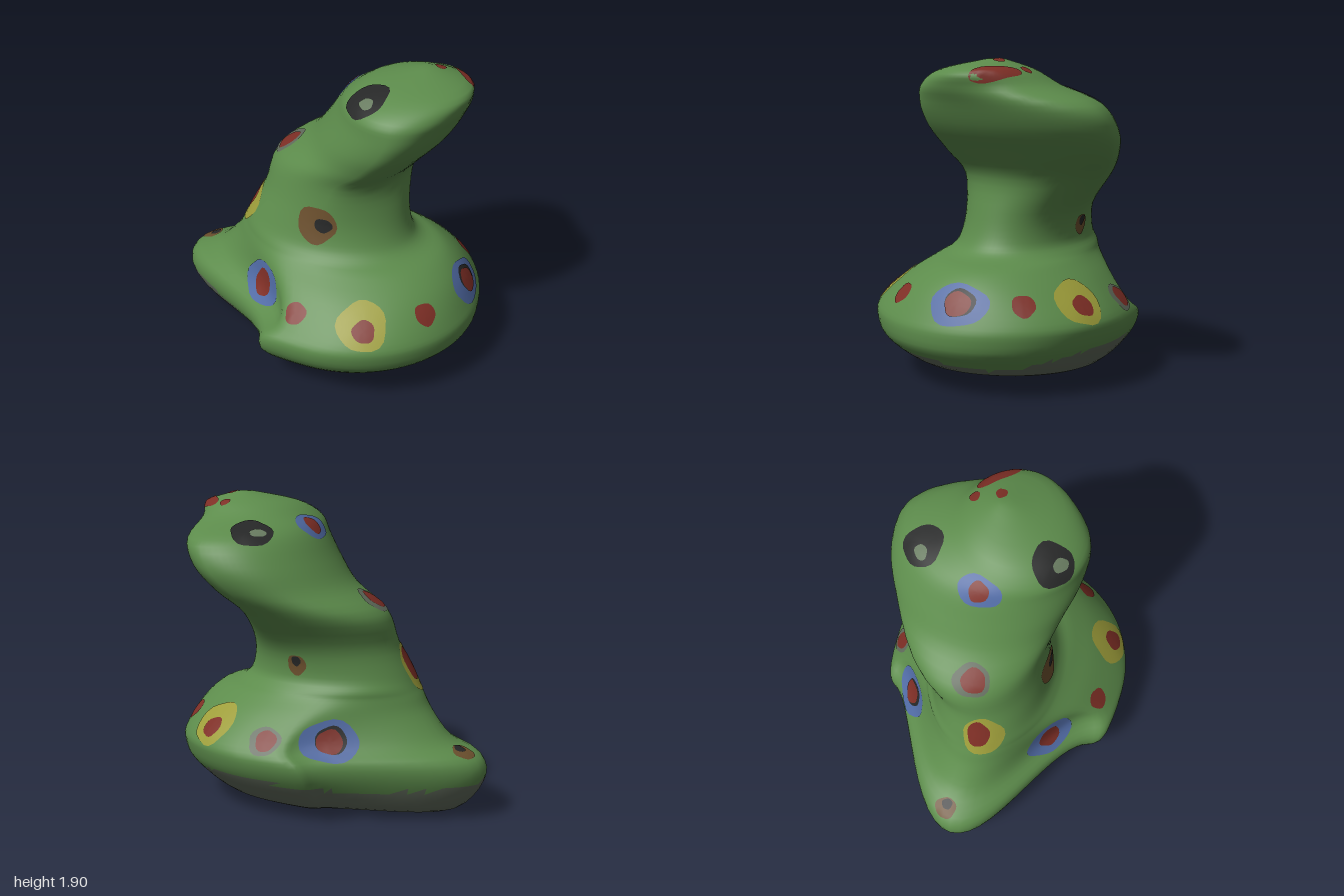
import * as THREE from 'three';

const { smoothstep, clamp, degToRad } = THREE.MathUtils;
const mat = (name, color) => Object.assign(new THREE.MeshStandardMaterial({ color }), { name });
const M = {
  green: mat('skin green', 0x5c8b4b),
  grey: mat('underside grey', 0x606a5b),
  red: mat('spot red', 0x7d2e25),
  yellow: mat('spot yellow', 0x9d9d3a),
  blue: mat('spot blue', 0x4f69a2),
  black: mat('eye black', 0x262727),
  brown: mat('spot brown', 0x6b4f2d),
  glint: mat('eye glint', 0x687b60),
};

// Horizontal cross-sections: y, xMin, xMax, zMin, zMax
const SECTIONS = [
  [0, -0.6, 0.55, -0.42, 0.42],
  [0.05, -0.84, 0.78, -0.58, 0.57],
  [0.22, -0.99, 0.96, -0.72, 0.74],
  [0.36, -0.97, 1, -0.78, 0.79],
  [0.45, -0.78, 0.97, -0.75, 0.74],
  [0.6, -0.64, 0.88, -0.61, 0.58],
  [0.7, -0.58, 0.76, -0.5, 0.44],
  [0.75, -0.55, 0.61, -0.46, 0.38],
  [0.83, -0.51, 0.54, -0.42, 0.33],
  [1, -0.43, 0.5, -0.45, 0.29],
  [1.2, -0.38, 0.49, -0.61, 0.28],
  [1.35, -0.17, 0.6, -0.74, 0.33],
  [1.5, -0.05, 0.73, -0.79, 0.38],
  [1.65, 0.05, 0.81, -0.72, 0.39],
  [1.75, 0.14, 0.85, -0.47, 0.36],
  [1.84, 0.28, 0.85, -0.33, 0.2],
  [1.9, 0.54, 0.62, -0.18, -0.08],
];

// Smooth blend between neighbouring sections
function sectionAt(s) {
  const last = SECTIONS.length - 1;
  const i = Math.min(Math.floor(s), last - 1), t = s - i;
  const row = (k) => SECTIONS[clamp(k, 0, last)];
  return row(i).map((b, k) => {
    const a = row(i - 1)[k], c = row(i + 1)[k], d = row(i + 2)[k];
    return b + 0.5 * t * (c - a + t * (2 * a - 5 * b + 4 * c - d + t * (3 * (b - c) + d - a)));
  });
}

// Body: teardrop base, leaning neck and wide head in one loft
function makeBody() {
  const SUB = 4, N = 80, rings = (SECTIONS.length - 1) * SUB + 1;
  const pos = [], skin = [], under = [];
  for (let i = 0; i < rings; i++) {
    const [y, x0, x1, z0, z1] = sectionAt(i / SUB);
    const tail = 1 - smoothstep(y, 0.4, 0.8);
    const cx = (x0 + x1) / 2 + 0.2 * tail + 0.1 * smoothstep(y, 0.9, 1.2) * (1 - smoothstep(y, 1.6, 1.8));
    const cz = (z0 + z1) / 2;
    for (let j = 0; j < N; j++) {
      const a = (j / N) * Math.PI * 2, c = Math.cos(a), s = Math.sin(a);
      // the base narrows to a rounded tail on one side
      const pull = tail * smoothstep(-c, 0.2, 0.95);
      const x = cx + (c < 0 ? x0 - cx : x1 - cx) * Math.pow(Math.abs(c), 1 + 2 * pull);
      const z = cz + (s < 0 ? cz - z0 : z1 - cz) * s - 0.05 * pull;
      // the sole rises slightly away from the tail
      pos.push(x, y + Math.max(0, 0.3 - y) * 0.17 * (x + 0.6), z);
    }
  }
  const bottom = pos.length / 3, top = bottom + 1;
  pos.push(0, 0.03, 0, 0.58, 1.902, -0.13);
  const addTri = (a, b, c) => {
    const y = (pos[a * 3 + 1] + pos[b * 3 + 1] + pos[c * 3 + 1]) / 3;
    const edge = 0.21 + 0.03 * Math.sin(pos[a * 3] * 5) + 0.03 * Math.sin(pos[a * 3 + 2] * 7);
    (y < edge ? under : skin).push(a, b, c);
  };
  for (let j = 0; j < N; j++) {
    const k = (j + 1) % N, up = (rings - 1) * N;
    addTri(bottom, j, k);
    addTri(top, up + k, up + j);
    for (let i = 0; i < rings - 1; i++) {
      const r = i * N, t = r + N;
      addTri(r + j, t + j, r + k);
      addTri(r + k, t + j, t + k);
    }
  }
  const geo = new THREE.BufferGeometry();
  geo.setAttribute('position', new THREE.Float32BufferAttribute(pos, 3));
  geo.setIndex([...skin, ...under]);
  geo.addGroup(0, skin.length, 0);
  geo.addGroup(skin.length, under.length, 1);
  geo.computeVertexNormals();
  const body = new THREE.Mesh(geo, [M.green, M.grey]);
  body.name = 'body';
  return body;
}

// Kinds of spot, as layers of [colour, half width, half height, shift across, shift up]
const KINDS = {
  blue: [['blue', 0.18, 0.13], ['red', 0.08, 0.09]],
  darkBlue: [['blue', 0.18, 0.13], ['black', 0.095, 0.085, 0.01, 0.01], ['red', 0.08, 0.075]],
  yellow: [['yellow', 0.15, 0.155], ['red', 0.068, 0.07, 0.01, -0.035]],
  red: [['red', 0.068, 0.07]],
  haloRed: [['grey', 0.1, 0.095, -0.01], ['red', 0.065, 0.07]],
  brown: [['brown', 0.07, 0.07], ['black', 0.035, 0.035, 0, 0.028]],
  sideBrown: [['brown', 0.125, 0.12], ['black', 0.057, 0.045, 0.045, 0.005]],
  streak: [['yellow', 0.13, 0.16], ['red', 0.07, 0.11, -0.03, 0.025]],
  eye: [['black', 0.125, 0.135], ['glint', 0.05, 0.04, 0.035, -0.025]],
  mouth: [['red', 0.15, 0.055]],
};

// Ring around the base: kind and angle
const RING = [
  ['blue', 138], ['red', 101], ['yellow', 65], ['red', 32], ['darkBlue', -5],
  ['red', -35], ['yellow', -63], ['haloRed', -97], ['darkBlue', -128],
];

// Single spots: name, kind, scale, position
const SPOTS = [
  ['tailSpot', 'brown', 1, -0.87, 0.4, -0.1],
  ['neckSideSpot', 'streak', 1, -0.5, 0.86, 0.04],
  ['neckUpperSpot', 'haloRed', 1.15, -0.29, 1.27, -0.08],
  ['napeSpot', 'blue', 0.75, 0.14, 1.68, -0.16],
  ['neckFrontSpot', 'sideBrown', 1, 0.06, 0.94, 0.28],
  ['neckBackSpot', 'brown', 0.9, 0.06, 0.9, -0.42],
  ['frontEye', 'eye', 1, 0.36, 1.75, 0.14],
  ['backEye', 'eye', 1, 0.26, 1.72, -0.6],
  ['mouth', 'mouth', 1, 0.8, 1.86, -0.24],
  ['backNostril', 'red', 0.5, 0.62, 1.89, -0.35],
  ['frontNostril', 'red', 0.5, 0.64, 1.9, -0.18],
];

// Point inside the body that a spot faces away from
function coreFor(p) {
  if (p.y < 0.65) return new THREE.Vector3(0.2, 0.3, 0);
  if (p.y < 1.45) return new THREE.Vector3(0.06, p.y - 0.1, -0.08);
  return new THREE.Vector3(0.48, 1.5, -0.2);
}

// Thin patches laid on the body's surface
function makeSpot(body, name, kind, scale, ...at) {
  const group = new THREE.Group();
  group.name = name;
  const ray = new THREE.Raycaster();
  const cast = (from, dir) => {
    ray.set(from, dir.clone().negate());
    return ray.intersectObject(body)[0];
  };
  const p = new THREE.Vector3(...at);
  const out = p.clone().sub(coreFor(p)).normalize();
  const hit = cast(p.clone().addScaledVector(out, 0.3), out);
  const n = hit.face.normal.clone();
  const u = new THREE.Vector3(0, 1, 0).cross(n).normalize();
  const v = n.clone().cross(u);

  KINDS[kind].forEach(([color, rx, ry, across = 0, up = 0], level) => {
    const RINGS = 3, N = 22, pos = [], index = [];
    const put = (a, b) => {
      const q = hit.point.clone().addScaledVector(u, a * scale).addScaledVector(v, b * scale);
      const h = cast(q.clone().addScaledVector(n, 0.15), n);
      if (h) q.copy(h.point);
      q.addScaledVector(n, 0.005 + level * 0.004);
      pos.push(q.x, q.y, q.z);
    };
    put(across, up);
    for (let r = 1; r <= RINGS; r++) {
      for (let k = 0; k < N; k++) {
        const a = (k / N) * Math.PI * 2;
        // slightly uneven, hand-painted rim
        const s = (r / RINGS) * (1 + 0.05 * Math.sin(3 * a + p.x * 9) + 0.03 * Math.sin(5 * a + p.z * 9));
        put(across + rx * s * Math.cos(a), up + ry * s * Math.sin(a));
        const k2 = (k + 1) % N, o = 1 + (r - 1) * N, i = o - N;
        if (r === 1) index.push(0, o + k, o + k2);
        else index.push(i + k, o + k, o + k2, i + k, o + k2, i + k2);
      }
    }
    const geo = new THREE.BufferGeometry();
    geo.setAttribute('position', new THREE.Float32BufferAttribute(pos, 3));
    geo.setIndex(index);
    geo.computeVertexNormals();
    const mesh = new THREE.Mesh(geo, M[color]);
    mesh.name = `${name} ${color}`;
    group.add(mesh);
  });
  return group;
}

export function createModel() {
  const model = new THREE.Group();
  model.name = 'spottedCreature';
  const body = makeBody();
  model.add(body);
  RING.forEach(([kind, angle], i) => {
    const a = degToRad(angle), y = i < 7 ? 0.53 : 0.48;
    const x = 0.2 + 0.67 * Math.cos(a), z = 0.67 * Math.sin(a);
    model.add(makeSpot(body, `baseSpot${i + 1}`, kind, 1, x, y, z));
  });
  for (const spot of SPOTS) model.add(makeSpot(body, ...spot));
  return model;
}
